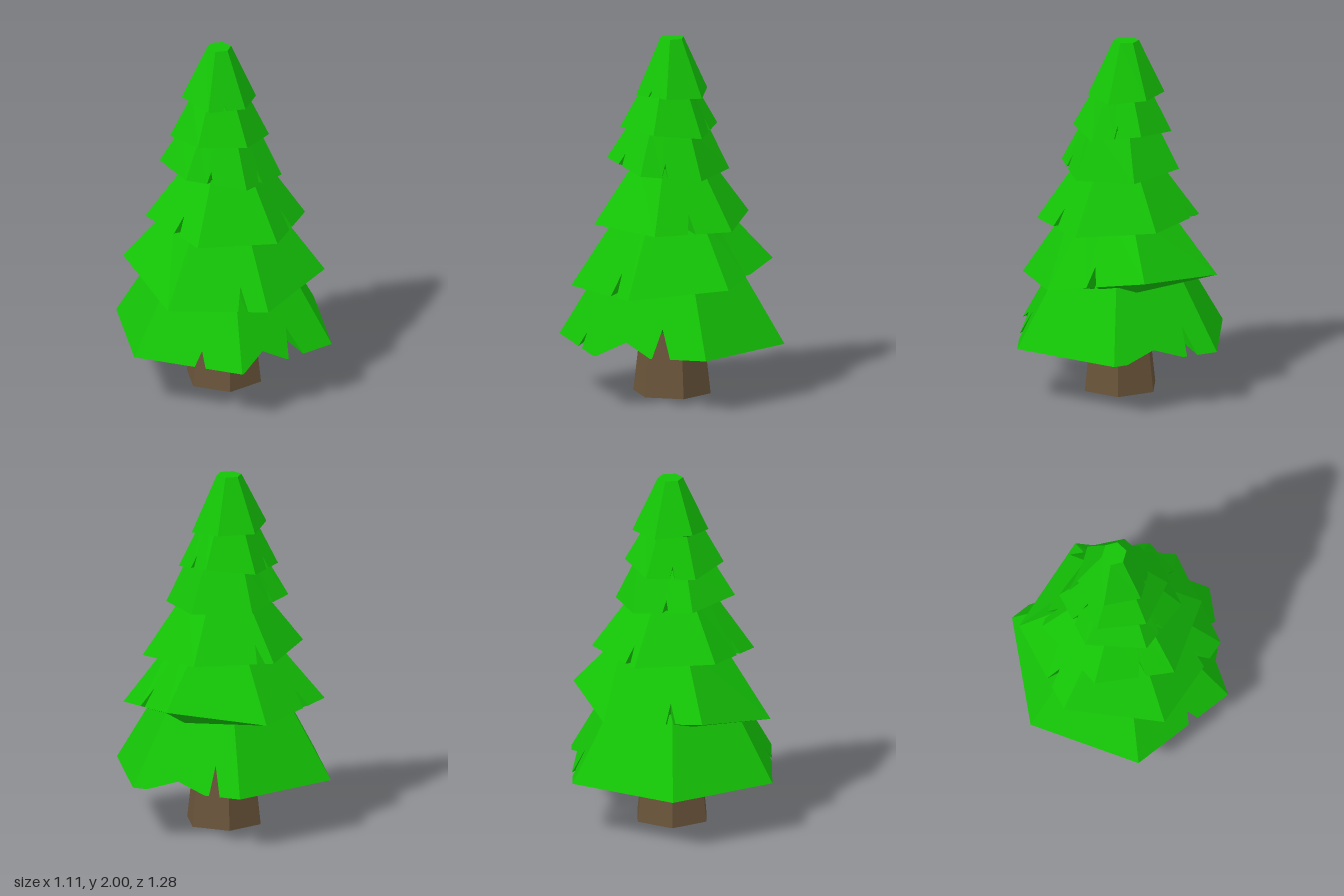
import * as THREE from 'three';

// Foliage tiers, lowest first. rimY: height of each corner; turn: degrees of the first corner;
// neckY: height of the underside; cuts: [edge index + position along the edge, half width, depth].
const TIERS = [
  { rimY: [0.3, 0.3, 0.3, 0.3, 0.3, 0.3], radius: 0.64, turn: 30, centre: [0, 0], neckY: 0.41,
    topY: 0.85, topRadius: 0.31,
    cuts: [[0.4, 0.08], [0.74, 0.24, 0.14], [1.39, 0.05, 0.15], [4.24], [4.6, 0.27, 0.1]] },
  { rimY: [0.67, 0.62, 0.61, 0.72, 0.69, 0.75], radius: 0.56, turn: 13, centre: [0, 0], neckY: 0.65,
    topY: 1.06, topRadius: 0.27, cuts: [[1.25], [3.32], [5.55]] },
  { rimY: [0.97, 0.97, 0.98, 1.02, 1, 1], radius: 0.45, turn: -1, centre: [0.005, 0.01], neckY: 0.98,
    topY: 1.34, topRadius: 0.2, cuts: [[0.52], [2.4], [4.16]] },
  { rimY: [1.25, 1.28, 1.33, 1.31, 1.28, 1.26], radius: 0.34, turn: 14, centre: [-0.02, 0.01], neckY: 1.28,
    topY: 1.53, topRadius: 0.21, cuts: [[0.6], [1.6], [3.46]] },
  { rimY: [1.47, 1.5, 1.51, 1.48, 1.48, 1.51], radius: 0.275, turn: 5, centre: [-0.025, 0], neckY: 1.485,
    topY: 1.73, topRadius: 0.15, cuts: [[3.47], [5.5]] },
  { rimY: [1.68, 1.69, 1.69, 1.72, 1.7, 1.7], radius: 0.212, turn: -5, centre: [-0.025, -0.025], neckY: 1.69,
    topY: 2, topRadius: 0.07, cuts: [[1.55, 0.05, 0.1]] },
];

// Closed six-sided skirt with a ragged rim and an underside that runs in to a narrower neck
function tierGeometry({ rimY, radius, turn, centre: [cx, cz], neckY, topY, topRadius, cuts }) {
  const low = [], high = [];
  for (let i = 0; i < 6; i++) {
    const angle = THREE.MathUtils.degToRad(turn + i * 60);
    const c = Math.cos(angle), s = Math.sin(angle);
    low.push(new THREE.Vector3(cx + radius * c, rimY[i], cz + radius * s));
    high.push(new THREE.Vector3(cx + topRadius * c, topY, cz + topRadius * s));
  }

  // Rim stops: the six corners plus three points for every cut
  const stops = low.map((_, i) => [i, 0]);
  for (const [at, half = 0.05, depth = 0.28] of cuts) {
    stops.push([at - half, 0], [at, depth], [at + half, 0]);
  }
  stops.sort((a, b) => a[0] - b[0]);

  const rim = [], upper = [], neck = [];
  for (const [at, depth] of stops) {
    const i = Math.floor(at), j = (i + 1) % 6;
    const base = low[i].clone().lerp(low[j], at - i);
    const head = high[i].clone().lerp(high[j], at - i);
    rim.push(base.clone().lerp(head, depth));
    upper.push(head);
    neck.push(new THREE.Vector3(cx + (base.x - cx) * 0.68, neckY, cz + (base.z - cz) * 0.68));
  }
  const crown = new THREE.Vector3(cx, topY, cz);
  const hollow = new THREE.Vector3(cx, neckY, cz);

  const points = [];
  const quad = (a, b, c, d) => points.push(a, b, c, a, c, d);
  for (let i = 0; i < rim.length; i++) {
    const j = (i + 1) % rim.length;
    quad(rim[i], upper[i], upper[j], rim[j]);
    quad(rim[i], rim[j], neck[j], neck[i]);
    points.push(crown, upper[j], upper[i], hollow, neck[i], neck[j]);
  }
  const geometry = new THREE.BufferGeometry().setFromPoints(points);
  geometry.computeVertexNormals();
  return geometry;
}

export function createModel() {
  const tree = new THREE.Group();
  tree.name = 'pineTree';
  const bark = new THREE.MeshStandardMaterial({ color: 0x69543a, flatShading: true });
  const needles = new THREE.MeshStandardMaterial({ color: 0x14c406, flatShading: true });

  // Tapered six-sided trunk
  const trunk = new THREE.Mesh(new THREE.CylinderGeometry(0.15, 0.22, 0.6, 6), bark);
  trunk.name = 'trunk';
  trunk.position.y = 0.3;
  tree.add(trunk);

  // Stacked foliage
  TIERS.forEach((tier, i) => {
    const mesh = new THREE.Mesh(tierGeometry(tier), needles);
    mesh.name = `foliageTier${i + 1}`;
    tree.add(mesh);
  });
  return tree;
}
